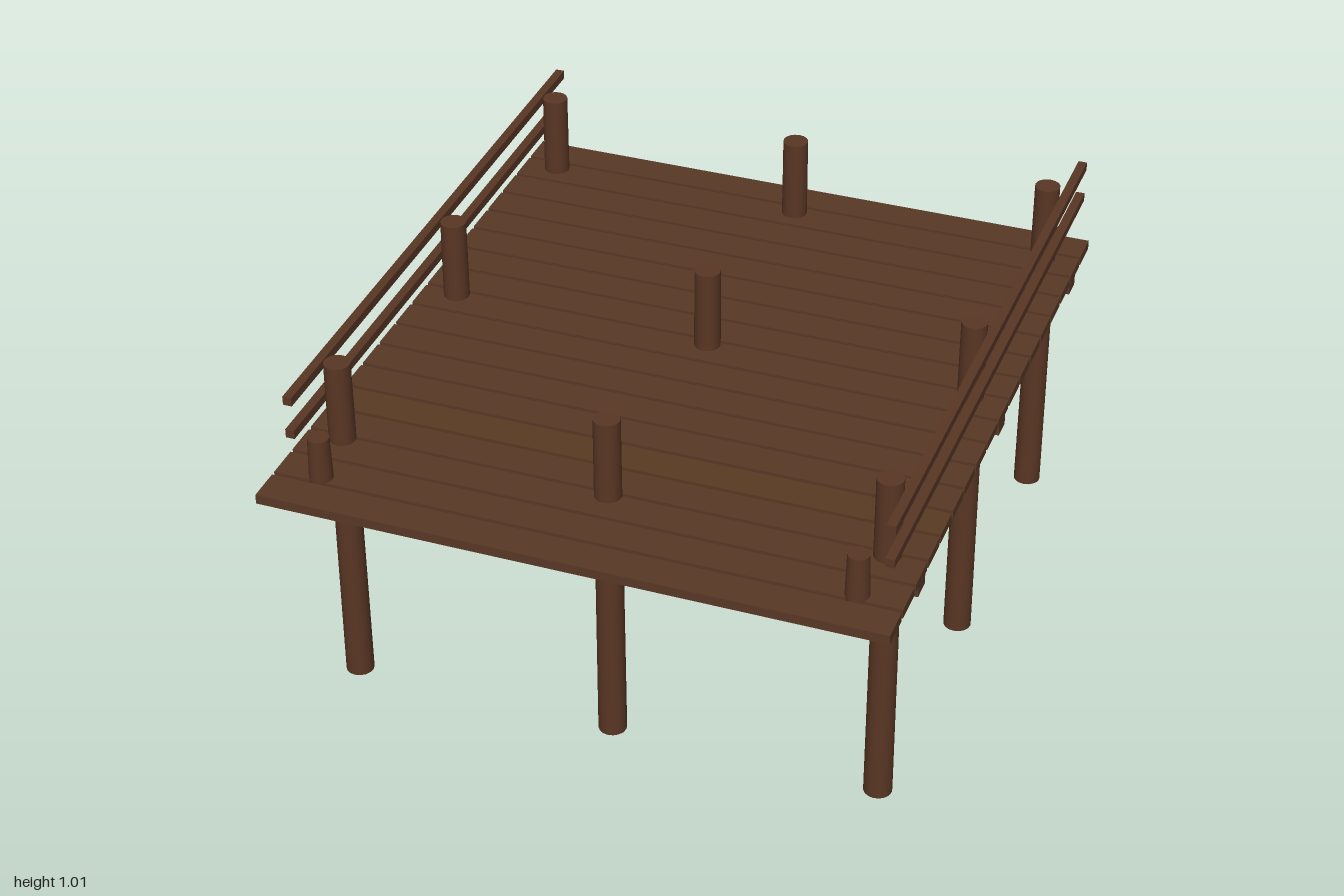
import * as THREE from 'three';

export function createModel() {
  const group = new THREE.Group();
  const mat = (name, color) => {
    const m = new THREE.MeshStandardMaterial({ color });
    m.name = name;
    return m;
  };
  const plankWood = mat('plank brown', 0x593826);
  const oliveWood = mat('weathered plank brown', 0x593a22);
  const postWood = mat('post brown', 0x593624);
  const beamWood = mat('beam brown', 0x5b3729);

  const add = (name, geometry, material, x, y, z) => {
    const mesh = new THREE.Mesh(geometry, material);
    mesh.name = name;
    mesh.position.set(x, y, z);
    group.add(mesh);
  };

  // Deck boards, laid across x with narrow gaps
  const plank = new THREE.BoxGeometry(1.71, 0.027, 0.097);
  for (let i = 0; i < 18; i++) {
    add('deckPlank', plank, i === 4 ? oliveWood : plankWood, 0, 0.762, 0.9515 - i * 0.1094);
  }

  // Three rows of piles, each row carrying a cross beam
  const pile = new THREE.CylinderGeometry(0.036, 0.039, 1.015, 16);
  const beam = new THREE.BoxGeometry(1.69, 0.048, 0.06);
  for (const z of [0.69, -0.065, -0.82]) {
    for (const x of [-0.753, 0, 0.753]) add('pile', pile, postWood, x, 0.5075, z);
    add('crossBeam', beam, beamWood, 0, 0.712, z);
  }

  // Short mooring posts and double side rails
  const mooring = new THREE.CylinderGeometry(0.029, 0.033, 0.15, 16);
  const rail = new THREE.BoxGeometry(0.025, 0.025, 1.87);
  for (const side of [-1, 1]) {
    add('mooringPost', mooring, postWood, side * 0.73, 0.826, 0.868);
    add('upperRail', rail, postWood, side * 0.81, 0.994, -0.065);
    add('lowerRail', rail, postWood, side * 0.81, 0.892, -0.065);
  }
  return group;
}
